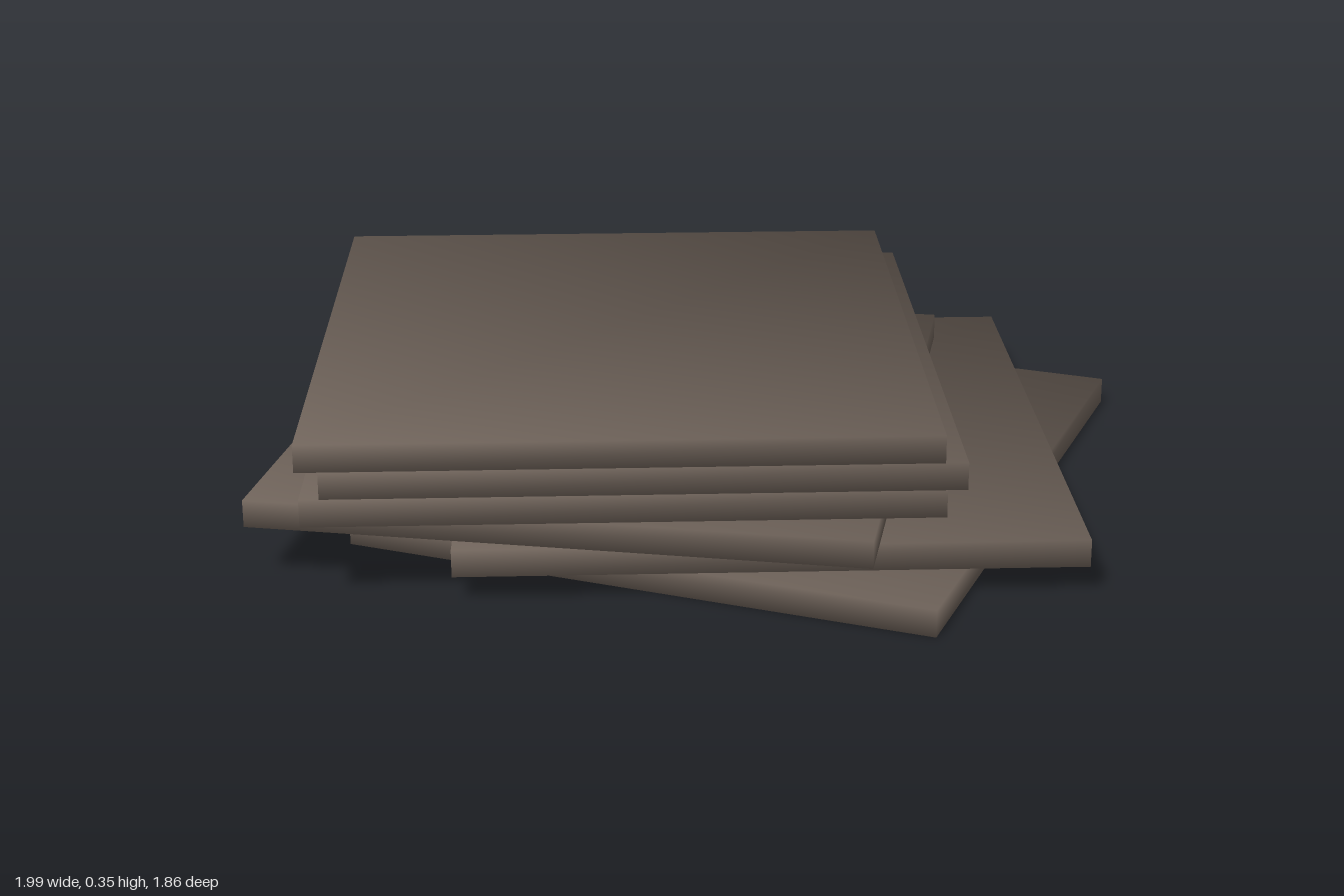
import * as THREE from 'three';

const WIDTH = 1.305, DEPTH = 1.445, THICK = 0.059;

// A slab whose normals fan out at the corners, for soft continuous shading
function slabGeometry() {
  const geometry = new THREE.BoxGeometry(WIDTH, THICK, DEPTH);
  const { position, normal } = geometry.attributes;
  const n = new THREE.Vector3();
  for (let i = 0; i < position.count; i++) {
    n.set(Math.sign(position.getX(i)), Math.sign(position.getY(i)), Math.sign(position.getZ(i))).normalize();
    normal.setXYZ(i, n.x, n.y, n.z);
  }
  return geometry;
}

export function createModel() {
  const group = new THREE.Group();
  group.name = 'slabStack';

  const brown = new THREE.MeshStandardMaterial({ color: 0x70645b });
  brown.name = 'greyBrown';

  // Slabs from bottom to top: x offset and turn about the vertical
  const slabs = [
    [0.1, -0.433],
    [0.102, -0.027],
    [-0.198, -0.232],
    [-0.198, -0.027],
    [-0.157, -0.027],
    [-0.204, -0.027],
  ];
  const geometry = slabGeometry();
  slabs.forEach(([x, turn], i) => {
    const slab = new THREE.Mesh(geometry, brown);
    slab.name = `slab${i + 1}`;
    slab.position.set(x, THICK * (i + 0.5), 0);
    slab.rotation.y = turn;
    group.add(slab);
  });

  return group;
}
